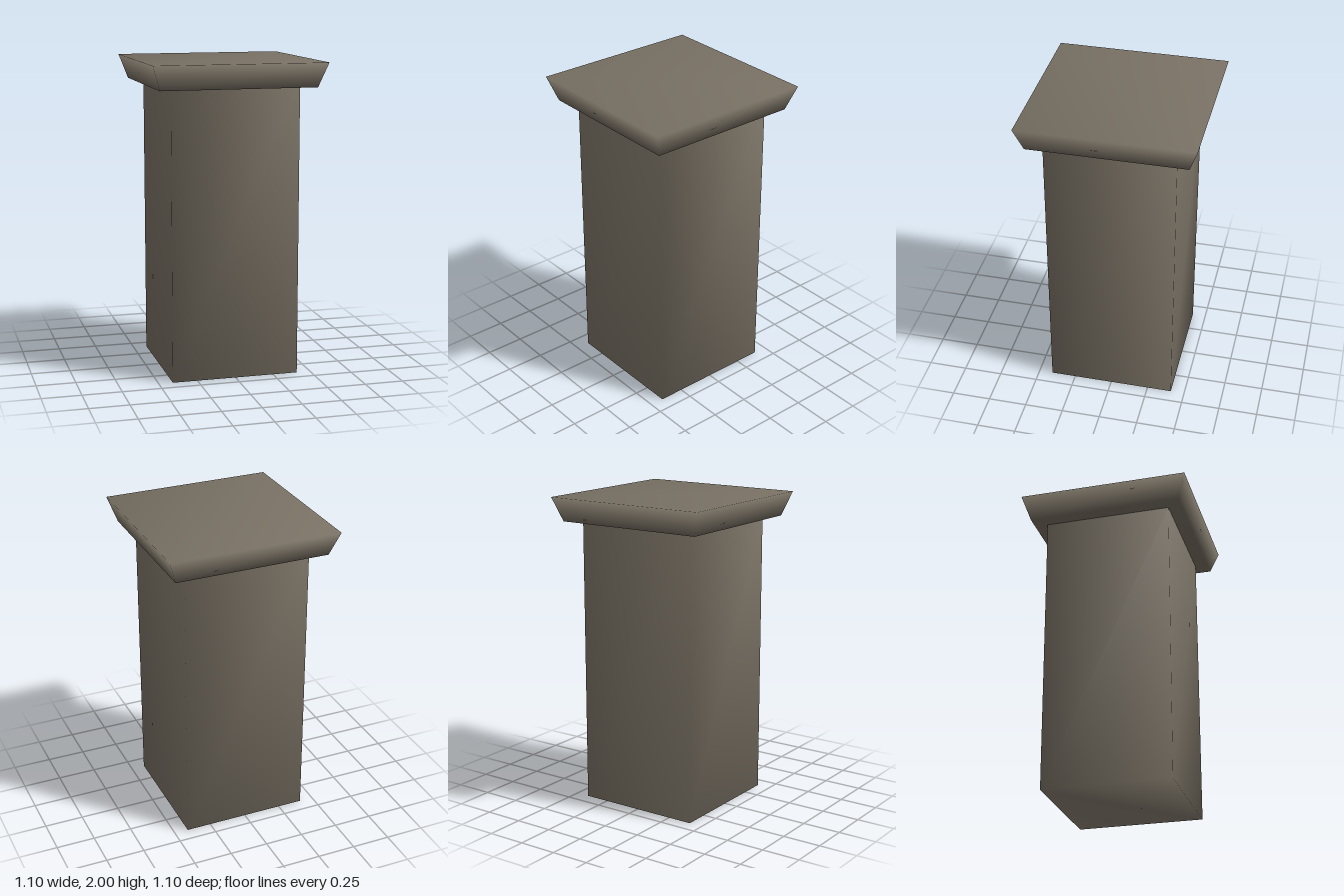
import * as THREE from 'three';
import { mergeVertices } from 'three/addons/utils/BufferGeometryUtils.js';

// Square block from y0 to y1 with its own half width at each end,
// corners welded so the shading runs smoothly around the edges.
function taperedBlock(halfBottom, halfTop, y0, y1) {
  const box = new THREE.BoxGeometry(2, 1, 2);
  box.deleteAttribute('normal');
  box.deleteAttribute('uv');
  const pos = box.attributes.position;
  for (let i = 0; i < pos.count; i++) {
    const top = pos.getY(i) > 0;
    const half = top ? halfTop : halfBottom;
    pos.setXYZ(i, pos.getX(i) * half, top ? y1 : y0, pos.getZ(i) * half);
  }
  const welded = mergeVertices(box);
  welded.clearGroups();
  welded.computeVertexNormals();
  return welded;
}

export function createModel() {
  const group = new THREE.Group();
  group.name = 'pillar';

  const stone = new THREE.MeshStandardMaterial({ color: 0x787063 });
  stone.name = 'grey brown stone';

  const add = (name, geometry) => {
    const mesh = new THREE.Mesh(geometry, stone);
    mesh.name = name;
    group.add(mesh);
  };

  // Straight square shaft
  add('shaft', taperedBlock(0.41, 0.41, 0, 1.845));
  // Capstone flaring outwards to its flat top
  add('capstone', taperedBlock(0.497, 0.55, 1.845, 2));

  return group;
}
